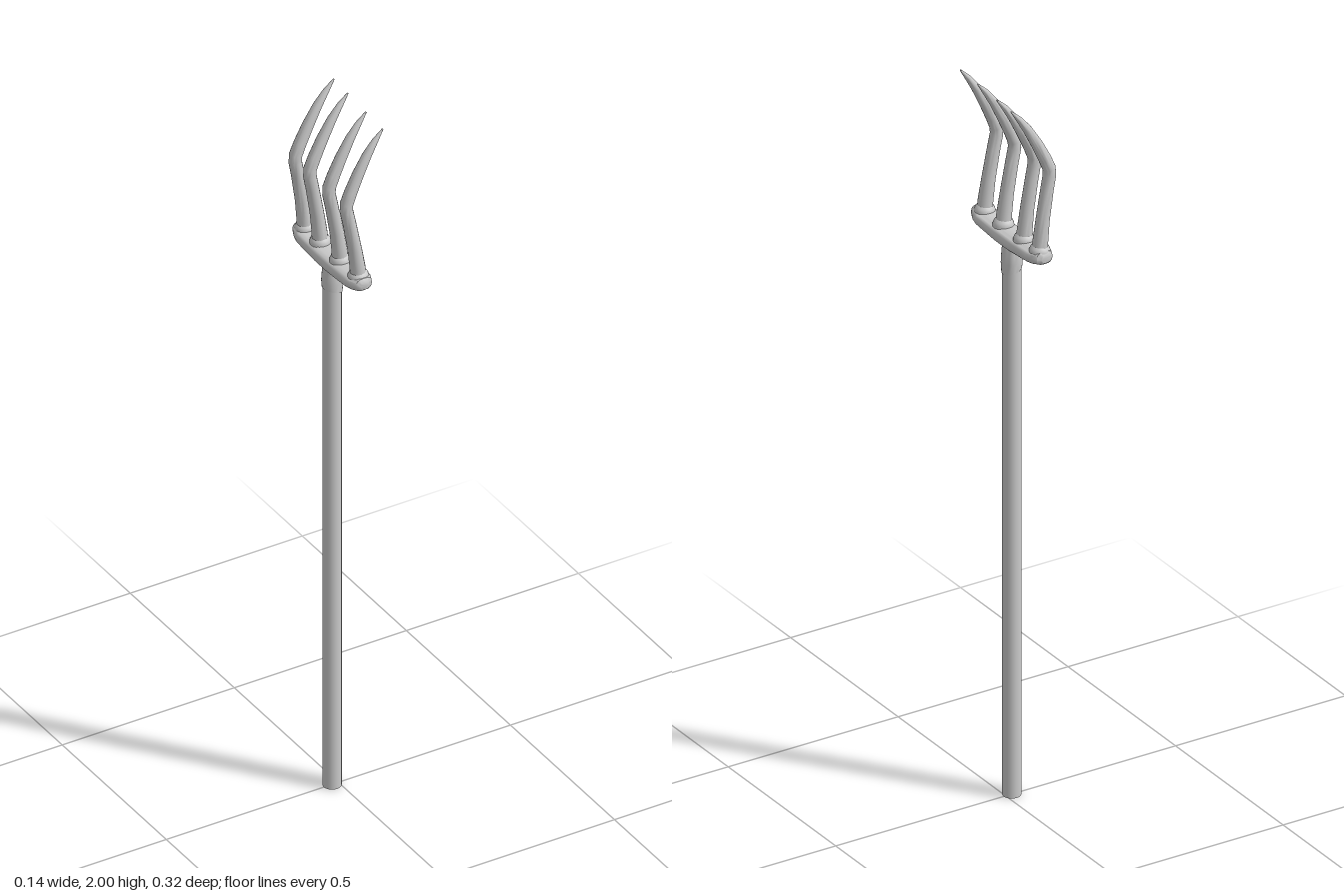
import * as THREE from 'three';
import { toCreasedNormals } from 'three/addons/utils/BufferGeometryUtils.js';

const X = -0.018; // axis of the handle
const V = (x, y, z) => new THREE.Vector3(x, y, z);

// Skin closed rings; each ring is { c, u, v } with u x v pointing along the run.
// Power below 1 squares the section off.
function loft(rings, sides, power = 1) {
  const pos = [], index = [];
  const soft = (t) => Math.sign(t) * Math.abs(t) ** power;
  for (const { c, u, v } of rings) {
    for (let j = 0; j < sides; j++) {
      const a = (j / sides) * Math.PI * 2;
      const p = c.clone().addScaledVector(u, soft(Math.cos(a))).addScaledVector(v, soft(Math.sin(a)));
      pos.push(p.x, p.y, p.z);
    }
  }
  for (let i = 0; i < rings.length - 1; i++) {
    for (let j = 0; j < sides; j++) {
      const k = (j + 1) % sides;
      const a = i * sides + j, b = i * sides + k;
      index.push(a, b, b + sides, a, b + sides, a + sides);
    }
  }
  // end caps
  const last = (rings.length - 1) * sides;
  for (let j = 1; j < sides - 1; j++) {
    index.push(0, j + 1, j, last, last + j, last + j + 1);
  }
  const g = new THREE.BufferGeometry();
  g.setAttribute('position', new THREE.Float32BufferAttribute(pos, 3));
  g.setIndex(index);
  return toCreasedNormals(g, 0.7);
}

// Bent, tapering tine: [x, y, radius] up its length; lean shifts the upper part.
function tineGeometry(lean) {
  const path = [
    [X, 1.57, 0.021], [X - 0.002, 1.61, 0.02], [-0.028, 1.67, 0.018], [-0.042, 1.75, 0.017],
    [-0.05, 1.79, 0.017], [-0.049, 1.81, 0.017], [-0.037, 1.84, 0.0165], [-0.015, 1.886, 0.015],
    [0.012, 1.935, 0.012], [0.036, 1.97, 0.008], [0.059, 1.998, 0.002],
  ].map(([x, y, r]) => [x + lean * Math.max(0, (y - 1.6) / 0.4), y, r]);
  const rings = path.map(([x, y, r], i) => {
    const p = path[Math.max(0, i - 1)], n = path[Math.min(path.length - 1, i + 1)];
    const t = V(n[0] - p[0], n[1] - p[1], 0).normalize();
    return { c: V(x, y, 0), u: V(-t.y * r, t.x * r, 0), v: V(0, 0, r) };
  });
  return loft(rings, 16);
}

export function createModel() {
  const group = new THREE.Group();
  const material = new THREE.MeshStandardMaterial({ color: 0xcccccc });
  const add = (name, geometry, x = 0, y = 0, z = 0) => {
    const mesh = new THREE.Mesh(geometry, material);
    mesh.name = name;
    mesh.position.set(x, y, z);
    group.add(mesh);
  };

  // long round handle
  add('handle', new THREE.CylinderGeometry(0.024, 0.024, 1.52, 24), X, 0.76, 0);

  // socket with a slanted lower lip: [y, radius, slant]
  const socket = [[1.476, 0.026, -0.008], [1.5, 0.0275, -0.004], [1.525, 0.026, 0], [1.56, 0.023, 0]]
    .map(([y, r, s]) => ({ c: V(X, y, 0), u: V(0, 0, r), v: V(r, s, 0) }));
  add('socket', loft(socket, 24));

  // cross bar, deeper in the middle: [z, half width, bottom, top]
  const bar = [
    [-0.159, 0.012, 1.562, 1.584], [-0.153, 0.023, 1.557, 1.592], [-0.135, 0.031, 1.553, 1.592],
    [-0.115, 0.035, 1.551, 1.588], [-0.03, 0.035, 1.543, 1.585], [0.03, 0.035, 1.543, 1.585],
    [0.115, 0.035, 1.551, 1.588], [0.135, 0.031, 1.553, 1.592], [0.153, 0.023, 1.557, 1.592],
    [0.159, 0.012, 1.562, 1.584],
  ].map(([z, w, lo, hi]) => ({ c: V(X, (lo + hi) / 2, z), u: V(w, 0, 0), v: V(0, (hi - lo) / 2, 0) }));
  add('crossBar', loft(bar, 16, 0.7));

  // four tines, each rising from a rounded collar
  const collar = new THREE.LatheGeometry(
    [[0.028, 0], [0.027, 0.012], [0.024, 0.02], [0.018, 0.026]].map(([r, y]) => new THREE.Vector2(r, y)), 20);
  [[-0.13, 0.007], [-0.057, 0.003], [0.039, -0.002], [0.126, -0.006]].forEach(([z, lean], i) => {
    add(`tine${i + 1}`, tineGeometry(lean), 0, 0, z);
    add(`tineCollar${i + 1}`, collar, X, 1.576, z);
  });

  return group;
}
